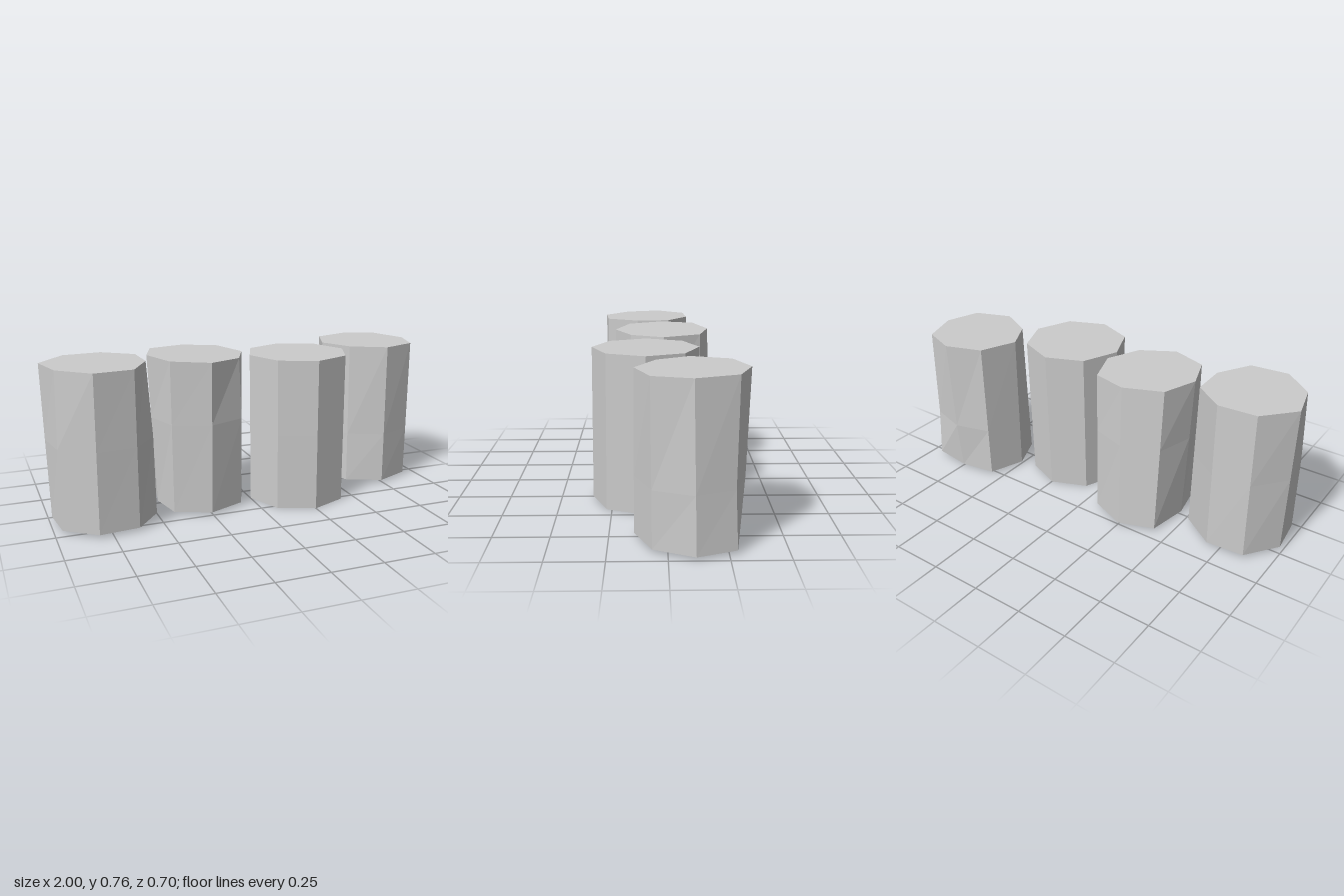
import * as THREE from 'three';

const material = new THREE.MeshStandardMaterial({ color: 0xcccccc, flatShading: true, side: THREE.DoubleSide });

// Regular octagon of [x, z] corners, clockwise seen from above, starting at -x
function octagon(cx, cz, r) {
  return Array.from({ length: 8 }, (_, i) => {
    const a = Math.PI + (i * Math.PI) / 4;
    return [cx + r * Math.cos(a), cz + r * Math.sin(a)];
  });
}

// Rough-hewn posts: rims as [x, z] corners, tilt = [rise along x, rise along z],
// dents = [corner, dx, dz] shifts of the middle ring
const posts = [
  {
    name: 'farRightPost', base: 0.015, mid: 0.4, height: 0.757, tilt: [0, -0.006],
    top: [[-1, 0.02], [-0.87, -0.127], [-0.685, -0.14], [-0.54, -0.035], [-0.533, 0.14], [-0.625, 0.305], [-0.81, 0.325], [-0.955, 0.2]],
    bottom: [[-0.985, 0.03], [-0.87, -0.127], [-0.685, -0.14], [-0.522, -0.03], [-0.507, 0.16], [-0.625, 0.305], [-0.815, 0.325], [-0.963, 0.215]],
    dents: [[4, 0.008, 0.005], [7, -0.005, 0.005]],
  },
  {
    name: 'innerRightPost', base: 0.015, mid: 0.45, height: 0.75, tilt: [-0.03, -0.01],
    top: [[-0.495, 0.005], [-0.435, -0.165], [-0.25, -0.232], [-0.08, -0.185], [-0.01, 0], [-0.085, 0.165], [-0.25, 0.25], [-0.43, 0.18]],
    bottom: [[-0.46, 0.005], [-0.425, -0.195], [-0.255, -0.257], [-0.08, -0.187], [-0.01, 0], [-0.08, 0.175], [-0.255, 0.25], [-0.425, 0.18]],
    dents: [[4, -0.01, 0], [5, 0.005, 0.01]],
  },
  {
    name: 'innerLeftPost', base: 0, mid: 0.37, height: 0.738, tilt: [0, 0],
    top: octagon(0.25, 0.09, 0.252), bottom: octagon(0.25, 0.1, 0.248), dents: [],
  },
  {
    name: 'farLeftPost', base: 0.015, mid: 0.27, height: 0.737, tilt: [0, -0.005],
    top: [[0.49, -0.107], [0.56, -0.285], [0.74, -0.348], [0.905, -0.285], [0.972, -0.1], [0.92, 0.07], [0.742, 0.137], [0.572, 0.045]],
    bottom: [[0.495, -0.107], [0.56, -0.28], [0.74, -0.31], [0.935, -0.285], [1, -0.113], [0.92, 0.065], [0.742, 0.142], [0.568, 0.065]],
    dents: [[2, 0, -0.008], [3, 0, 0.01]],
  },
];

// Skin three rings with side walls and close the top; the underside stays open
function makePost({ name, base, mid, height, tilt, top, bottom, dents }) {
  const center = [0, 1].map((k) => top.reduce((s, p) => s + p[k], 0) / 8);
  const t = (mid - base) / (height - base);
  const rings = [
    bottom.map(([x, z]) => [x, base, z]),
    bottom.map(([x, z], i) => [x + (top[i][0] - x) * t, mid, z + (top[i][1] - z) * t]),
    top.map(([x, z]) => [x, height + tilt[0] * (x - center[0]) + tilt[1] * (z - center[1]), z]),
  ];
  for (const [i, dx, dz] of dents) {
    rings[1][i][0] += dx;
    rings[1][i][2] += dz;
  }
  const verts = [];
  const face = (...corners) => corners.forEach((c) => verts.push(...c));
  for (let i = 0; i < 8; i++) {
    const j = (i + 1) % 8;
    for (let k = 0; k < 2; k++) {
      const [lo, hi] = [rings[k], rings[k + 1]];
      face(lo[i], hi[i], lo[j]);
      face(lo[j], hi[i], hi[j]);
    }
    face([center[0], height, center[1]], rings[2][j], rings[2][i]);
  }
  const geometry = new THREE.BufferGeometry();
  geometry.setAttribute('position', new THREE.Float32BufferAttribute(verts, 3));
  geometry.computeVertexNormals();
  const mesh = new THREE.Mesh(geometry, material);
  mesh.name = name;
  return mesh;
}

export function createModel() {
  const group = new THREE.Group();
  group.name = 'postRow';
  posts.forEach((post) => group.add(makePost(post)));
  return group;
}
